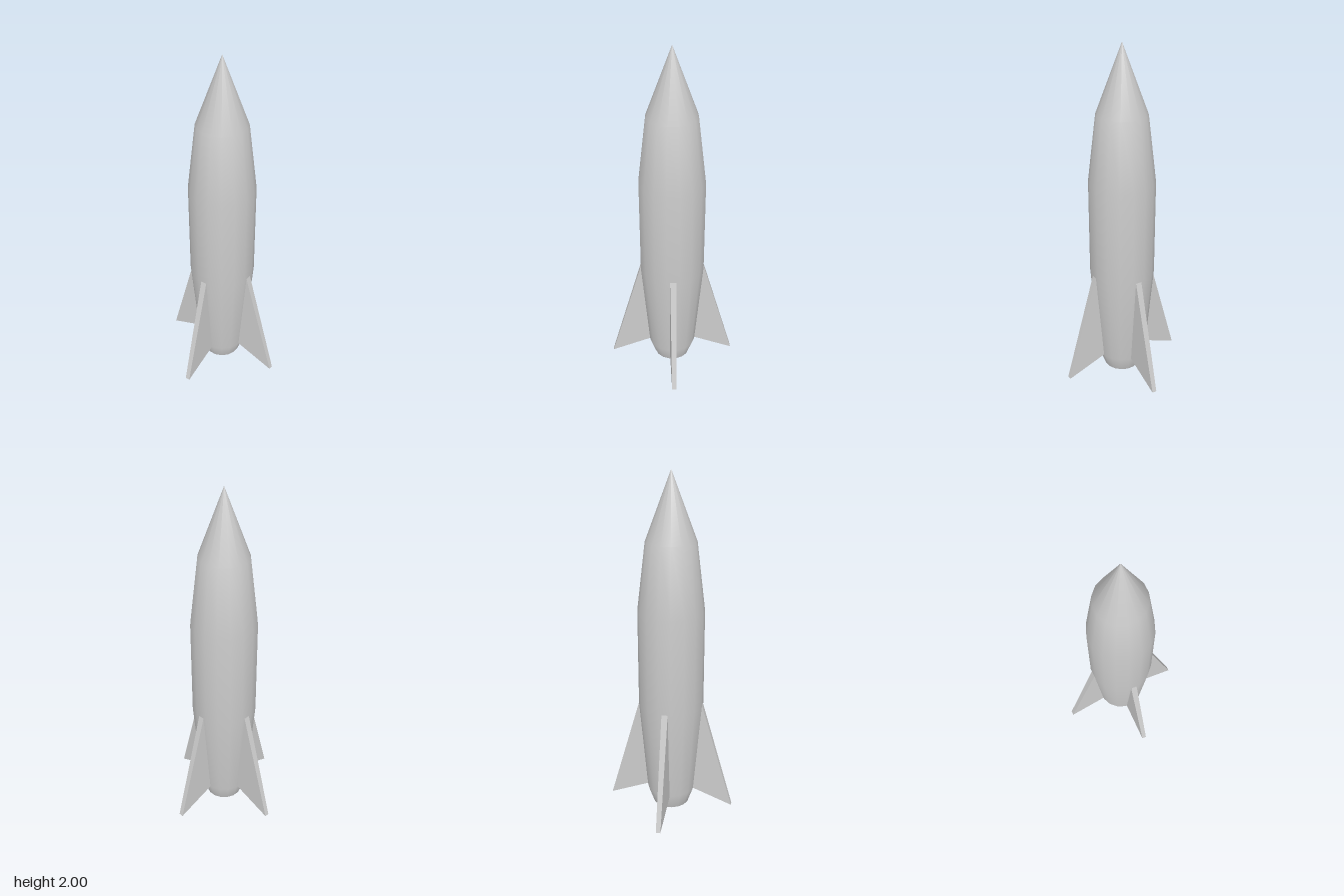
import * as THREE from 'three';

const SIDES = 16;
const HALF_STEP = Math.PI / SIDES;

export function createModel() {
  const rocket = new THREE.Group();
  rocket.name = 'rocket';
  const material = new THREE.MeshStandardMaterial({ color: 0xcccccc });

  const add = (geometry, name) => {
    const mesh = new THREE.Mesh(geometry, material);
    mesh.name = name;
    rocket.add(mesh);
    return mesh;
  };

  // Hull: smooth 16-sided lathe from the tail to the pointed nose
  const profile = [
    [0.108, 0], [0.143, 0.1], [0.19, 0.66], [0.19, 1.23], [0.143, 1.62], [0, 2],
  ].map(([r, y]) => new THREE.Vector2(r, y));
  add(new THREE.LatheGeometry(profile, SIDES, HALF_STEP), 'hull');

  // Flat tail cap, kept separate for a sharp rim
  const cap = new THREE.CircleGeometry(0.108, SIDES, HALF_STEP);
  cap.rotateX(Math.PI / 2);
  add(cap, 'tailCap');

  // Fin: swept triangle, its root just inside the hull, thinning towards the tip
  const outline = new THREE.Shape([
    [0.135, 0.102], [0.376, 0.005], [0.187, 0.665], [0.18, 0.66],
  ].map(([r, y]) => new THREE.Vector2(r, y)));
  const fin = new THREE.ExtrudeGeometry(outline, { depth: 2, bevelEnabled: false });
  fin.translate(0, 0, -1);
  const p = fin.attributes.position;
  for (let i = 0; i < p.count; i++) {
    const halfThickness = 0.018 - 0.024 * (p.getX(i) - 0.187);
    p.setZ(i, p.getZ(i) * halfThickness);
  }
  fin.computeVertexNormals();

  ['leftFin', 'backFin', 'rightFin', 'frontFin'].forEach((name, i) => {
    add(fin, name).rotation.y = i * Math.PI / 2;
  });

  return rocket;
}
